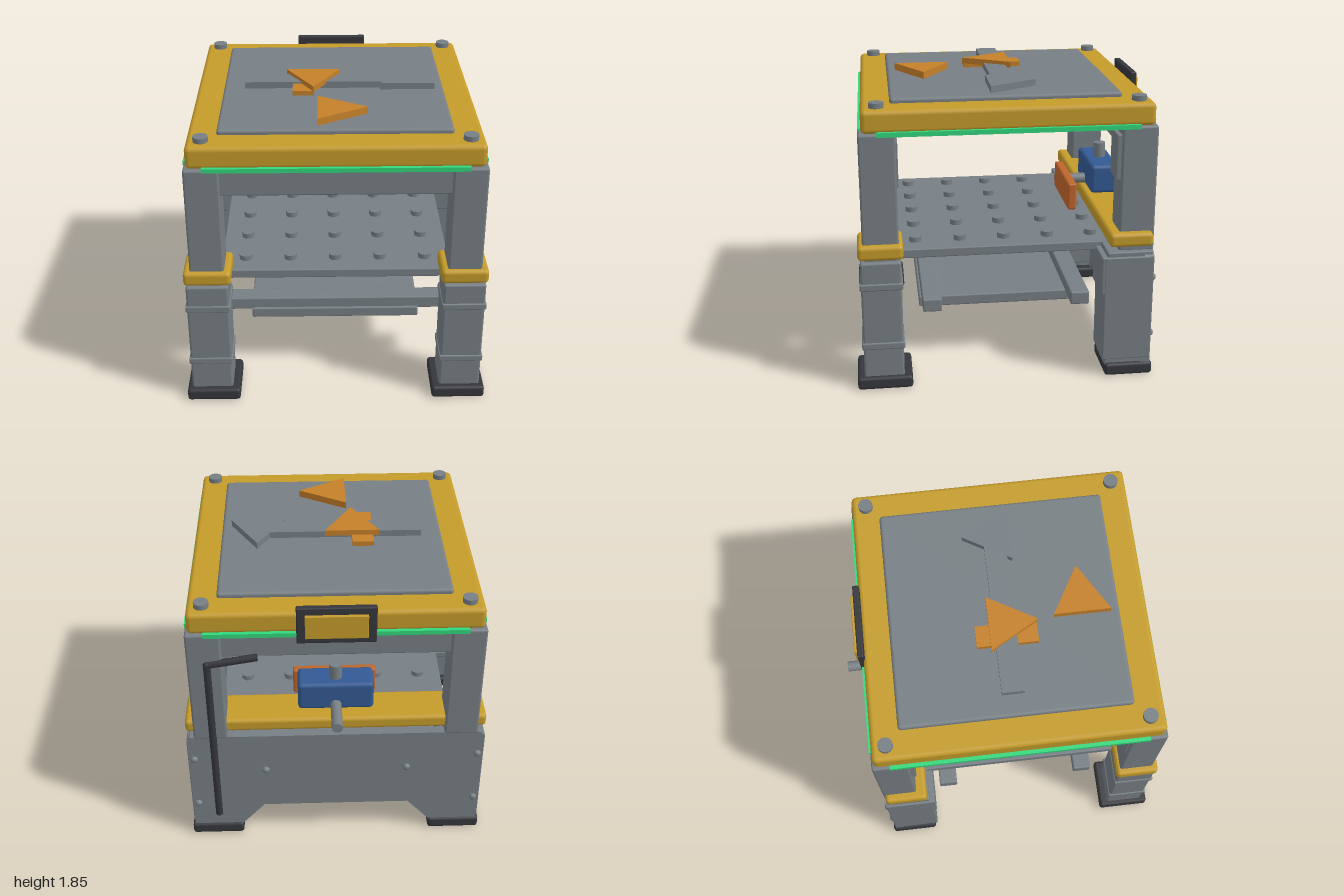
import * as THREE from 'three';
import { RoundedBoxGeometry } from 'three/addons/geometries/RoundedBoxGeometry.js';

const mat = (name, color) => {
  const m = new THREE.MeshStandardMaterial({ color });
  m.name = name;
  return m;
};

export function createModel() {
  const root = new THREE.Group();
  const steel = mat('steel grey', 0x777f84);
  const gold = mat('gold paint', 0xc49b2a);
  const rubber = mat('dark rubber', 0x36373c);
  const blue = mat('blue paint', 0x335a94);
  const rust = mat('rust orange', 0xbf652c);
  const amber = mat('amber paint', 0xc58029);
  const green = mat('green light', 0x32d77d);
  const cyan = mat('cyan light', 0x5cb4c8);

  const add = (name, geometry, material, x = 0, y = 0, z = 0) => {
    const m = new THREE.Mesh(geometry, material);
    m.name = name;
    m.position.set(x, y, z);
    root.add(m);
    return m;
  };
  // Box from its limits, with softened edges when r > 0
  const box = (name, material, [x0, x1], [y0, y1], [z0, z1], r = 0.01) => {
    const s = [x1 - x0, y1 - y0, z1 - z0];
    const g = r ? new RoundedBoxGeometry(...s, 2, r) : new THREE.BoxGeometry(...s);
    return add(name, g, material, (x0 + x1) / 2, (y0 + y1) / 2, (z0 + z1) / 2);
  };
  // Same box on the left (+x) and right (-x)
  const pair = (name, material, [x0, x1], y, z, r) => {
    box(name + 'Left', material, [x0, x1], y, z, r);
    box(name + 'Right', material, [-x1, -x0], y, z, r);
  };
  const cyl = (name, material, r, h, x, y, z) =>
    add(name, new THREE.CylinderGeometry(r, r, h, 20), material, x, y, z);
  // Flat plate from an outline of [x, z] points
  const plate = (name, material, points, y0, y1) => {
    const shape = new THREE.Shape(points.map(([x, z]) => new THREE.Vector2(x, -z)));
    const g = new THREE.ExtrudeGeometry(shape, { depth: y1 - y0, bevelEnabled: false });
    g.rotateX(-Math.PI / 2);
    return add(name, g, material, 0, y0, 0);
  };

  // Front legs
  pair('frontFoot', rubber, [0.613, 0.95], [0, 0.08], [0.66, 1], 0.02);
  pair('frontLowerLeg', steel, [0.66, 0.92], [0.06, 0.83], [0.71, 0.957], 0.015);
  for (const y of [0.283, 0.673])
    pair('legBand', steel, [0.652, 0.928], [y - 0.023, y + 0.023], [0.702, 0.965]);
  pair('frontLegNeck', steel, [0.69, 0.89], [0.82, 0.87], [0.73, 0.93]);
  pair('frontCuff', gold, [0.64, 0.93], [0.845, 0.937], [0.695, 0.97], 0.025);
  pair('frontUpperLeg', steel, [0.68, 0.89], [0.86, 1.615], [0.72, 0.94], 0.015);
  pair('frontLegPlate', steel, [0.7, 0.87], [1.28, 1.56], [0.71, 0.74], 0.004);

  // Back legs
  pair('backFoot', rubber, [0.613, 0.95], [0, 0.08], [-0.855, -0.55], 0.02);
  pair('backLegCore', steel, [0.68, 0.925], [0.06, 0.83], [-0.835, -0.55]);
  pair('backColumn', steel, [0.66, 0.94], [0.11, 0.8], [-0.84, -0.533], 0.008);
  pair('columnBand', steel, [0.66, 0.938], [0.555, 0.8], [-0.6, -0.515], 0.008);
  pair('backUpperLeg', steel, [0.68, 0.89], [0.82, 1.615], [-0.845, -0.625], 0.015);
  pair('backLegPlate', steel, [0.7, 0.87], [1.28, 1.56], [-0.65, -0.598], 0.004);
  box('backBeam', gold, [-0.94, 0.94], [0.865, 0.953], [-0.83, -0.56], 0.025);

  // Arched back panel with a raised upper band
  const half = [[0.935, 0.07], [0.935, 0.8], [0.9, 0.83]];
  const arch = [[-0.62, 0.07], [-0.47, 0.24], [0.47, 0.24], [0.62, 0.07]];
  const outline = [...arch, ...half, ...half.map(([x, y]) => [-x, y]).reverse()];
  const panelShape = new THREE.Shape(outline.map(p => new THREE.Vector2(...p)));
  add('backPanel', new THREE.ExtrudeGeometry(panelShape, { depth: 0.06, bevelEnabled: false }),
    steel, 0, 0, -0.84);
  box('panelBand', steel, [-0.67, 0.67], [0.555, 0.8], [-0.8, -0.76], 0.008);
  const boltGeo = new THREE.SphereGeometry(0.025, 12, 8);
  for (const s of [-1, 1]) {
    add('panelBolt', boltGeo, steel, s * 0.45, 0.55, -0.84);
    for (const y of [0.27, 0.65]) add('columnBolt', boltGeo, steel, s * 0.9, y, -0.838);
  }

  // Studded shelf
  box('shelf', steel, [-0.72, 0.72], [0.772, 0.83], [-0.64, 0.76], 0.008);
  for (let i = -2; i <= 2; i++)
    for (let j = -2; j <= 2; j++)
      cyl('shelfStud', steel, 0.04, 0.045, i * 0.284, 0.841, 0.05 + j * 0.28);

  // Lower tray and its rails
  box('lowerTray', steel, [-0.545, 0.545], [0.36, 0.43], [-0.495, 0.595]);
  box('frontRail', steel, [-0.75, 0.75], [0.415, 0.5], [0.46, 0.58]);
  box('backRail', steel, [-0.75, 0.75], [0.415, 0.5], [-0.48, -0.36]);

  // Upper cross beams, roof slab and inset
  box('frontBeam', steel, [-0.7, 0.7], [1.44, 1.615], [0.75, 0.92]);
  box('rearBeam', steel, [-0.7, 0.7], [1.44, 1.615], [-0.82, -0.65]);
  box('roofSlab', gold, [-0.875, 0.875], [1.61, 1.752], [-0.83, 0.92], 0.03);
  box('roofInset', steel, [-0.7, 0.7], [1.735, 1.783], [-0.66, 0.745], 0.02);
  for (const x of [-0.785, 0.785])
    for (const z of [-0.74, 0.825]) cyl('roofBolt', steel, 0.045, 0.04, x, 1.764, z);

  // Green light strips around the roof
  box('frontLight', green, [-0.78, 0.78], [1.598, 1.626], [0.9, 0.94], 0);
  box('backLight', green, [-0.78, 0.78], [1.598, 1.626], [-0.852, -0.81], 0);
  pair('sideLight', green, [0.86, 0.895], [1.598, 1.626], [-0.735, 0.83], 0);

  // Arrow and triangle plates on the roof
  plate('arrow', steel, [[-0.565, -0.03], [0.393, -0.03], [0.47, -0.16], [0.64, 0.135],
    [0.295, 0.135], [0.313, 0.105], [-0.565, 0.105]], 1.78, 1.825);
  plate('amberBar', amber, [[-0.26, -0.145], [-0.125, -0.145], [-0.125, 0.23], [-0.26, 0.23]], 1.78, 1.815);
  plate('amberPointer', amber, [[-0.3, -0.06], [0.045, -0.06], [-0.13, 0.24]], 1.81, 1.848);
  plate('amberTriangle', amber, [[-0.105, 0.34], [0.2, 0.515], [-0.105, 0.69]], 1.78, 1.828);

  // Hanging lamp under the roof
  box('lampHousing', rubber, [-0.6, -0.35], [1.41, 1.5], [-0.5, 0.595], 0.012);
  box('lampTube', cyan, [-0.505, -0.445], [1.393, 1.415], [-0.42, 0.52], 0);

  // Rear sign
  box('signFrame', rubber, [-0.235, 0.235], [1.555, 1.8], [-0.86, -0.82], 0.008);
  box('signPlate', gold, [-0.185, 0.185], [1.6, 1.755], [-0.88, -0.85], 0.004);

  // Motor on the back beam
  box('motorBody', blue, [-0.235, 0.235], [0.98, 1.172], [-0.77, -0.58], 0.025);
  box('motorFace', rust, [-0.265, 0.265], [0.88, 1.065], [-0.48, -0.42], 0.015);
  cyl('motorCap', steel, 0.04, 0.12, 0, 1.21, -0.68);
  cyl('motorShaft', steel, 0.034, 0.54, 0, 1.02, -0.73).rotation.x = Math.PI / 2;

  // Bent cable pipe at the back left
  const p = [[0.77, 0.17], [0.77, 1.4], [0.47, 1.45]].map(([x, y]) => new THREE.Vector3(x, y, -0.842));
  for (let i = 0; i < 2; i++) {
    const d = p[i + 1].clone().sub(p[i]);
    const pipe = cyl('pipe', rubber, 0.023, d.length(), 0, 0, 0);
    pipe.position.copy(p[i]).addScaledVector(d, 0.5);
    pipe.quaternion.setFromUnitVectors(new THREE.Vector3(0, 1, 0), d.normalize());
  }
  add('pipeElbow', new THREE.SphereGeometry(0.025, 14, 10), rubber, p[1].x, p[1].y, p[1].z);

  return root;
}
